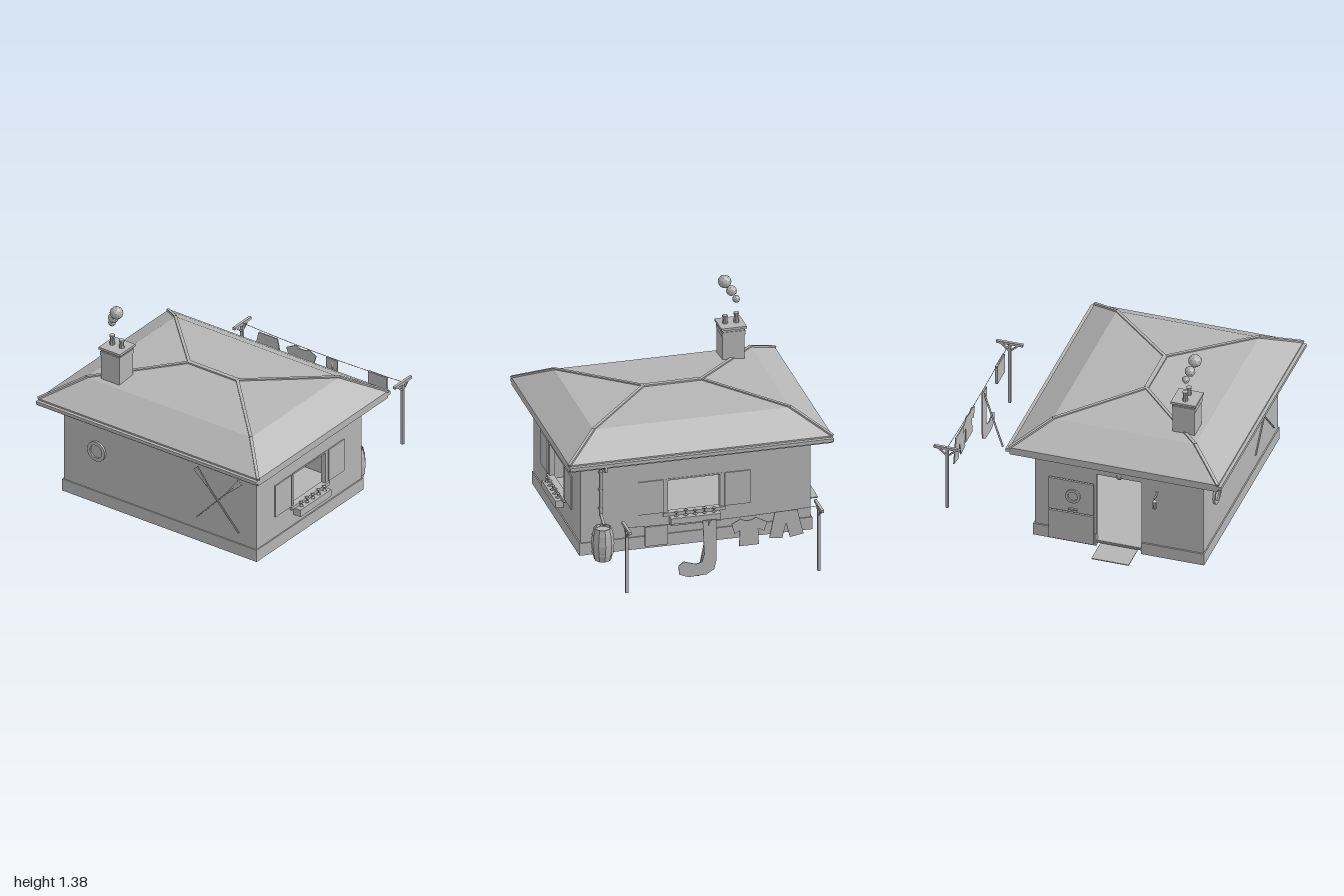
import * as THREE from 'three';

const grey = new THREE.MeshStandardMaterial({ color: 0xb4b4b4, flatShading: true, side: THREE.DoubleSide });
grey.name = 'plain grey';

const V = (x, y, z) => new THREE.Vector3(x, y, z);

function add(parent, name, geometry, x = 0, y = 0, z = 0) {
  const mesh = new THREE.Mesh(geometry, grey);
  mesh.name = name;
  mesh.position.set(x, y, z);
  parent.add(mesh);
  return mesh;
}

// box given by its limits on each axis
function box(parent, name, x0, x1, y0, y1, z0, z1) {
  return add(parent, name, new THREE.BoxGeometry(x1 - x0, y1 - y0, z1 - z0), (x0 + x1) / 2, (y0 + y1) / 2, (z0 + z1) / 2);
}

// square bar between two points
function beam(parent, name, a, b, w, h = w) {
  const bar = add(parent, name, new THREE.BoxGeometry(w, h, a.distanceTo(b)));
  bar.position.copy(a).lerp(b, 0.5);
  bar.lookAt(b);
}

function polygon(points) {
  return new THREE.Shape(points.map(([x, y]) => new THREE.Vector2(x, y)));
}

function extrude(shape, depth) {
  return new THREE.ExtrudeGeometry(shape, { depth, bevelEnabled: false });
}

const rect = (x0, x1, y0, y1) => [[x0, y0], [x1, y0], [x1, y1], [x0, y1]];

// wall in local coordinates, z pointing outwards, with an optional opening
function wall(parent, u0, u1, hole) {
  const shape = polygon(rect(u0, u1, 0.02, 0.69));
  if (hole) shape.holes.push(polygon(rect(...hole)));
  add(parent, 'wall', extrude(shape, 0.03), 0, 0, -0.03);
}

function side(parent, name, x, z, turn) {
  const group = new THREE.Group();
  group.name = name;
  group.position.set(x, 0, z);
  group.rotation.y = turn;
  parent.add(group);
  return group;
}

// shutters, frame, sill and flower box around an opening centred on u
function windowSet(parent, u) {
  const set = side(parent, 'window', u, 0, 0);
  for (const s of [-1, 1]) {
    add(set, 'shutter', new THREE.BoxGeometry(0.168, 0.23, 0.008), s * 0.286, 0.35, 0.005);
    add(set, 'frameSide', new THREE.BoxGeometry(0.015, 0.235, 0.035), s * 0.178, 0.34, -0.014);
  }
  box(set, 'frameTop', -0.185, 0.185, 0.455, 0.465, -0.03, 0.004);
  box(set, 'sill', -0.205, 0.205, 0.21, 0.232, -0.03, 0.015);
  box(set, 'flowerBox', -0.165, 0.165, 0.157, 0.207, 0, 0.055);
  for (let i = 0; i < 5; i++) {
    const x = (i - 2) * 0.062;
    add(set, 'leaves', new THREE.OctahedronGeometry(0.018), x, 0.214, 0.03).scale.y = 0.6;
    add(set, 'stem', new THREE.CylinderGeometry(0.003, 0.003, 0.03, 5), x, 0.226, 0.03);
    add(set, 'flower', new THREE.OctahedronGeometry(0.017), x, 0.239 + 0.009 * (i % 2), 0.03).scale.y = 0.6;
  }
}

// flat porthole ring with a pane, facing +z
function porthole(parent, x, y, z, r) {
  const ring = new THREE.Shape().absarc(0, 0, r, 0, Math.PI * 2);
  ring.holes.push(new THREE.Path().absarc(0, 0, r * 0.66, 0, Math.PI * 2));
  add(parent, 'portholeRing', extrude(ring, 0.014), x, y, z);
  add(parent, 'portholePane', new THREE.CircleGeometry(r * 0.68, 24), x, y, z + 0.004);
}

function buildWalls(house) {
  const front = side(house, 'frontSide', 0, 0.845, 0);
  wall(front, -0.735, 0.785);
  porthole(front, -0.475, 0.38, 0, 0.07);
  // crossed oars
  for (const s of [-1, 1]) {
    const oar = side(front, 'oar', 0.487, 0.01 + 0.006 * s, 0);
    oar.position.y = 0.352;
    oar.rotation.z = s * 0.75;
    add(oar, 'oarShaft', new THREE.CylinderGeometry(0.006, 0.006, 0.43, 6), 0, -0.035, 0);
    add(oar, 'oarBlade', extrude(polygon([[-0.005, 0.09], [0.005, 0.09], [0.021, 0.25], [-0.021, 0.25]]), 0.008), 0, 0, -0.004);
  }

  const left = side(house, 'windowSide', 0.785, 0, Math.PI / 2);
  wall(left, -0.845, 0.285, [-0.46, -0.1, 0.225, 0.457]);
  windowSet(left, -0.28);

  const back = side(house, 'backSide', 0, -0.285, Math.PI);
  wall(back, -0.785, 0.735, [-0.215, 0.145, 0.225, 0.457]);
  windowSet(back, -0.035);

  const door = side(house, 'doorSide', -0.735, 0, -Math.PI / 2);
  wall(door, -0.285, 0.845, [0.13, 0.43, 0.03, 0.54]);
  // door in two halves, folded back against the wall
  box(door, 'lowerDoor', -0.185, 0.115, 0.012, 0.225, 0.011, 0.025);
  box(door, 'upperDoor', -0.185, 0.115, 0.235, 0.47, 0.011, 0.025);
  porthole(door, -0.02, 0.36, 0.022, 0.05);
  box(door, 'doorHandle', -0.05, 0.01, 0.255, 0.265, 0.025, 0.037);
  const charm = add(door, 'doorCharm', new THREE.TorusGeometry(0.016, 0.004, 5, 10, 4.4), 0.28, 0.55, 0.004);
  charm.rotation.z = 2.5;
  // lantern on a bracket
  box(door, 'lanternBracket', 0.53, 0.54, 0.47, 0.478, 0, 0.06);
  box(door, 'bracketPlate', 0.525, 0.545, 0.44, 0.49, 0, 0.006);
  add(door, 'lanternCap', new THREE.ConeGeometry(0.016, 0.016, 8), 0.535, 0.458, 0.052);
  add(door, 'lanternBody', new THREE.CylinderGeometry(0.014, 0.012, 0.045, 8), 0.535, 0.428, 0.052);
  add(door, 'lanternFoot', new THREE.CylinderGeometry(0.015, 0.015, 0.008, 8), 0.535, 0.402, 0.052);

  // plinth with a gap at the door, floor and doormat
  box(house, 'plinth', -0.745, 0.793, 0, 0.085, 0.82, 0.853);
  box(house, 'plinth', -0.745, 0.793, 0, 0.085, -0.293, -0.26);
  box(house, 'plinth', 0.76, 0.793, 0, 0.085, -0.26, 0.82);
  box(house, 'plinth', -0.745, -0.712, 0, 0.085, -0.26, 0.13);
  box(house, 'plinth', -0.745, -0.712, 0, 0.085, 0.43, 0.82);
  box(house, 'floor', -0.73, 0.78, 0.025, 0.035, -0.28, 0.84);
  box(house, 'doormat', -0.905, -0.72, 0.004, 0.01, 0.15, 0.4);
}

function buildRoof(house) {
  // rectangular rings from soffit to ridge: x0, x1, y, z0, z1
  const rings = [[-0.72, 0.77, 0.65, -0.27, 0.83], [-0.845, 0.895, 0.65, -0.42, 0.978], [-0.845, 0.895, 0.7, -0.42, 0.978],
    [-0.625, 0.675, 0.83, -0.2, 0.755], [-0.165, 0.215, 0.87, 0.275, 0.275]]
    .map(([x0, x1, y, z0, z1]) => [V(x0, y, z0), V(x1, y, z0), V(x1, y, z1), V(x0, y, z1)]);
  const points = [];
  for (let r = 0; r < rings.length - 1; r++) {
    for (let i = 0; i < 4; i++) {
      const j = (i + 1) % 4, [lo, hi] = [rings[r], rings[r + 1]];
      points.push(lo[i], hi[i], lo[j], lo[j], hi[i], hi[j]);
    }
  }
  const geometry = new THREE.BufferGeometry().setFromPoints(points);
  geometry.computeVertexNormals();
  add(house, 'roof', geometry);
  // caps along the hips and the ridge
  for (let i = 0; i < 4; i++) {
    beam(house, 'hipCap', rings[2][i], rings[3][i], 0.02, 0.016);
    beam(house, 'hipCap', rings[3][i], rings[4][i], 0.02, 0.016);
  }
  beam(house, 'ridgeCap', rings[4][0], rings[4][1], 0.03, 0.018);
  // gutters front and back
  box(house, 'frontGutter', -0.845, 0.895, 0.667, 0.69, 0.975, 1);
  box(house, 'backGutter', -0.845, 0.895, 0.667, 0.69, -0.445, -0.418);
}

function buildChimney(house) {
  const c = side(house, 'chimney', -0.463, 0.647, 0);
  box(c, 'chimneyStack', -0.073, 0.073, 0.78, 1.05, -0.073, 0.073);
  box(c, 'chimneyCollar', -0.077, 0.077, 1.005, 1.035, -0.077, 0.077);
  box(c, 'chimneyCap', -0.084, 0.084, 1.05, 1.066, -0.084, 0.084);
  for (const x of [-0.037, 0.037]) {
    add(c, 'chimneyPot', new THREE.CylinderGeometry(0.013, 0.019, 0.06, 10), x, x < 0 ? 1.096 : 1.086, 0);
    add(c, 'potRim', new THREE.CylinderGeometry(0.018, 0.018, 0.012, 10), x, x < 0 ? 1.127 : 1.115, 0);
  }
  for (const [x, y, z, r] of [[-0.037, 1.225, 0.003, 0.025], [-0.012, 1.277, 0.023, 0.035], [0.028, 1.337, 0.043, 0.044]]) {
    add(c, 'smokePuff', new THREE.IcosahedronGeometry(r, 1), x, y, z);
  }
}

function buildWaterButt(house) {
  // downpipe with brackets, running into a barrel
  const path = [V(0.655, 0.68, -0.432), V(0.655, 0.635, -0.432), V(0.655, 0.612, -0.305), V(0.655, 0.282, -0.305), V(0.66, 0.246, -0.4)];
  for (let i = 0; i < 4; i++) beam(house, 'downpipe', path[i], path[i + 1], 0.016);
  for (const y of [0.32, 0.45, 0.57]) add(house, 'pipeBracket', new THREE.BoxGeometry(0.024, 0.01, 0.03), 0.655, y, -0.3);
  const profile = [[0, 0], [0.055, 0], [0.069, 0.06], [0.074, 0.112], [0.069, 0.165], [0.057, 0.222], [0.05, 0.222], [0.05, 0.205], [0, 0.205]];
  add(house, 'barrel', new THREE.LatheGeometry(profile.map(([r, y]) => new THREE.Vector2(r, y)), 10), 0.662, 0, -0.377);
  for (const y of [0.05, 0.172]) add(house, 'barrelHoop', new THREE.CylinderGeometry(0.07, 0.07, 0.012, 10, 1, true), 0.662, y, -0.377);
}

function buildClothesline(group) {
  const z = -0.91;
  for (const x of [-0.62, 0.65]) {
    box(group, 'linePost', x - 0.009, x + 0.009, 0, 0.45, z - 0.009, z + 0.009);
    box(group, 'lineCrossbar', x - 0.009, x + 0.009, 0.442, 0.46, -1, -0.82);
    for (const s of [-1, 1]) beam(group, 'lineBrace', V(x, 0.39, z), V(x, 0.445, z + s * 0.06), 0.01);
  }
  const curve = new THREE.QuadraticBezierCurve3(V(-0.62, 0.455, z), V(0.015, 0.42, z), V(0.65, 0.455, z));
  add(group, 'line', new THREE.TubeGeometry(curve, 16, 0.002, 5));
  beam(group, 'lineProp', V(0.145, 0.005, -0.79), V(0.1, 0.43, -0.905), 0.011);
  // laundry cut from thin cloth: centre depth, thickness, outline
  const laundry = {
    towel: [z, 0.016, rect(0.38, 0.53, 0.31, 0.445)],
    stocking: [-0.9, 0.007, [[0.055, 0.44], [0.145, 0.44], [0.135, 0.2], [0.15, 0.15], [0.19, 0.14], [0.27, 0.165], [0.305, 0.14], [0.3, 0.08], [0.24, 0.055], [0.12, 0.06], [0.07, 0.09], [0.055, 0.15]]],
    shirt: [-0.92, 0.007, [[-0.04, 0.4], [-0.1, 0.43], [-0.13, 0.415], [-0.17, 0.415], [-0.2, 0.43], [-0.275, 0.39], [-0.255, 0.33], [-0.215, 0.35], [-0.22, 0.24], [-0.09, 0.24], [-0.095, 0.35], [-0.06, 0.33]]],
    trousers: [-0.9, 0.007, [[-0.33, 0.44], [-0.48, 0.44], [-0.52, 0.27], [-0.43, 0.255], [-0.405, 0.36], [-0.38, 0.255], [-0.295, 0.265]]],
  };
  for (const [name, [depth, thick, outline]] of Object.entries(laundry)) {
    add(group, name, extrude(polygon(outline), thick), 0, 0, depth - thick / 2);
  }
}

export function createModel() {
  const model = new THREE.Group();
  model.name = 'cottage';
  buildWalls(model);
  buildRoof(model);
  buildChimney(model);
  buildWaterButt(model);
  buildClothesline(model);
  return model;
}
